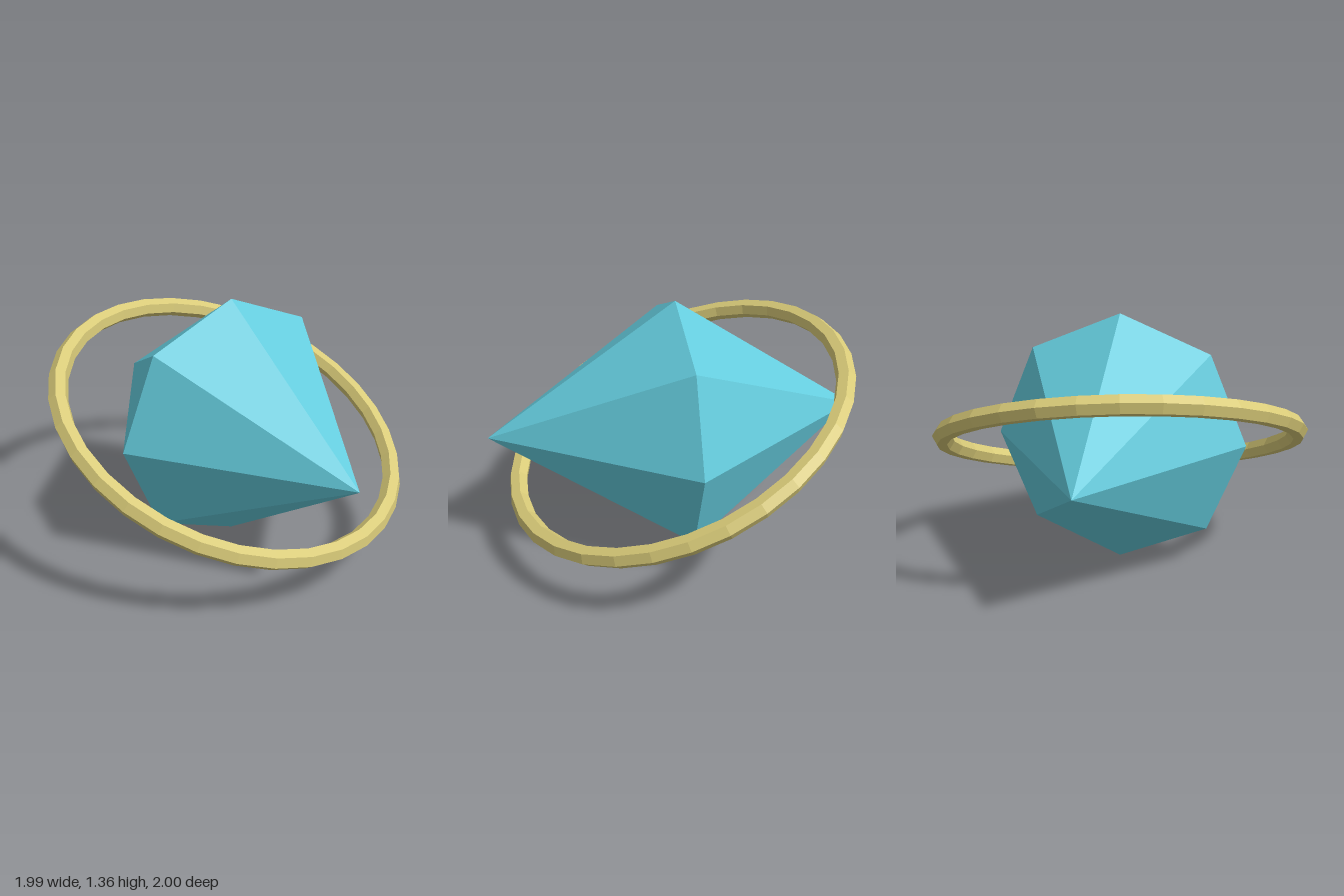
import * as THREE from 'three';

export function createModel() {
  const model = new THREE.Group();

  const aqua = new THREE.MeshStandardMaterial({ color: 0x64cbdc, flatShading: true });
  aqua.name = 'aqua crystal';
  const gold = new THREE.MeshStandardMaterial({ color: 0xd8ca78, flatShading: true });
  gold.name = 'pale gold';

  const radius = 0.68;

  // Crystal: eight-sided double pyramid with its points along z
  const crystalShape = new THREE.SphereGeometry(1, 8, 2);
  crystalShape.rotateX(Math.PI / 2);
  crystalShape.scale(radius, radius, 1);
  const crystal = new THREE.Mesh(crystalShape, aqua);
  crystal.name = 'crystal';
  crystal.position.y = radius;
  model.add(crystal);

  // Ring: hexagonal section, tipped down at the front and slightly to the left
  const ring = new THREE.Mesh(new THREE.TorusGeometry(0.948, 0.052, 6, 32), gold);
  ring.name = 'orbitRing';
  ring.position.y = radius;
  ring.rotation.set(2.0, -0.11, 0);
  model.add(ring);

  return model;
}
